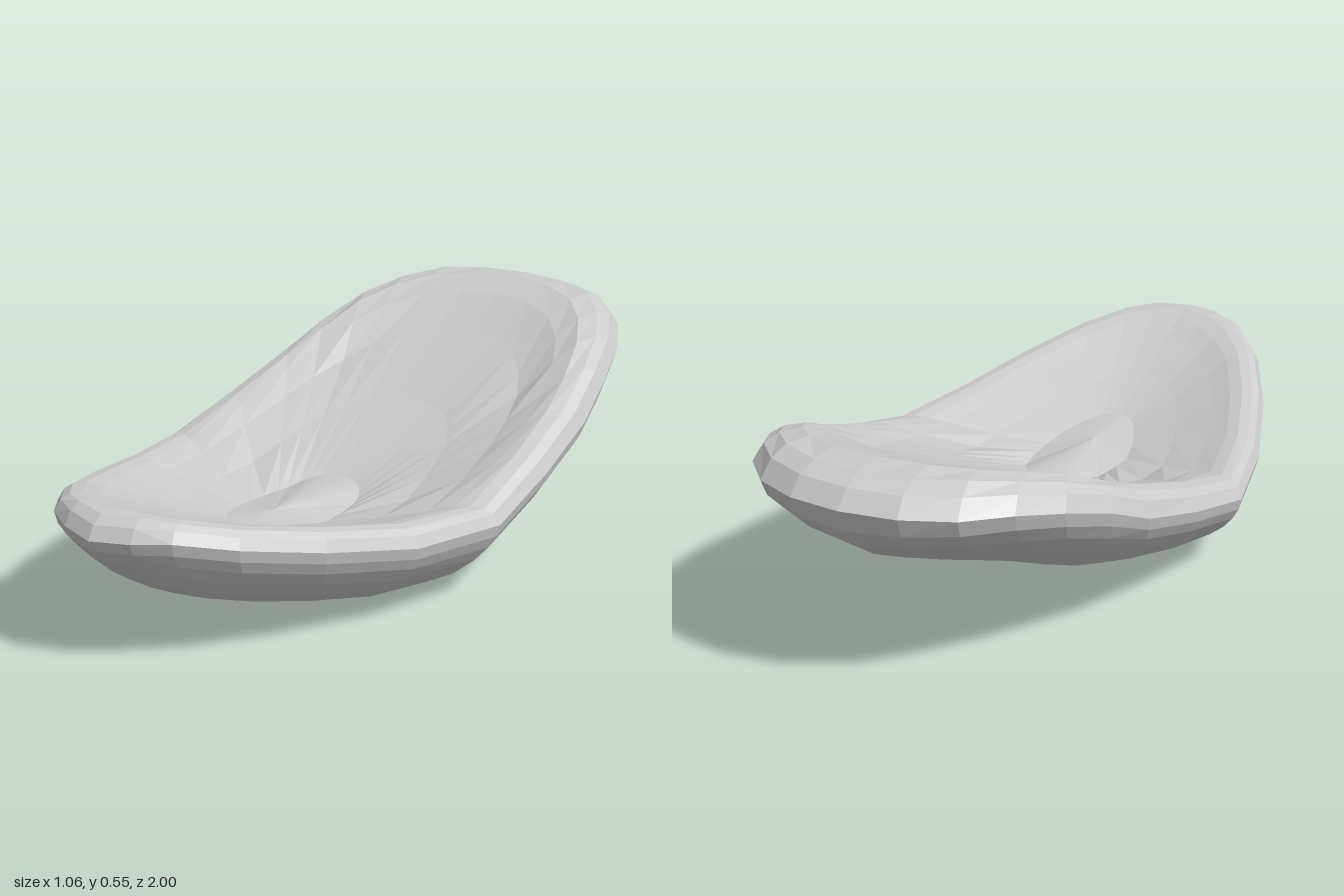
import * as THREE from 'three';

// Half of the egg-shaped rim seen from above, front tip to back: [x, z]
const HALF = [
  [0, 1], [0.1, 0.97], [0.18, 0.92], [0.28, 0.8], [0.38, 0.6], [0.47, 0.35],
  [0.53, 0.08], [0.515, -0.17], [0.49, -0.4], [0.46, -0.55], [0.415, -0.7],
  [0.35, -0.82], [0.26, -0.92], [0.14, -0.98], [0, -1],
];

// Height of the rim along the length: [z, y]
const BEND = [
  [-1, 0.485], [-0.93, 0.48], [-0.83, 0.475], [-0.7, 0.445], [-0.55, 0.395], [-0.4, 0.328],
  [-0.15, 0.255], [0.1, 0.195], [0.25, 0.195], [0.45, 0.23], [0.7, 0.285], [0.93, 0.345], [1, 0.335],
];

// Section from the shallow centre over the soft lip to the underside:
// [fraction of rim, height in the front part, height in the back part]
const TOP = [
  [0, -0.012, -0.012], [0.23, -0.025, -0.025], [0.48, 0, 0.02], [0.69, 0.028, 0.04],
  [0.8, 0.045, 0.068], [0.87, 0.05, 0.08], [0.93, 0.045, 0.068], [0.97, 0.03, 0.045], [1, 0, 0],
];
const UNDERSIDE = [
  [0.985, -0.03, -0.055], [0.95, -0.06, -0.105], [0.89, -0.095, -0.155], [0.8, -0.135, -0.19],
  [0.68, -0.165, -0.197], [0.5, -0.185, -0.19], [0.25, -0.193, -0.188], [0, -0.197, -0.197],
];

const CENTRE_Z = 0.31;

function bendHeight(z) {
  let i = 1;
  while (i < BEND.length - 1 && z > BEND[i][0]) i++;
  const [z0, y0] = BEND[i - 1];
  const [z1, y1] = BEND[i];
  return THREE.MathUtils.mapLinear(z, z0, z1, y0, y1);
}

function dishGeometry() {
  const mirrored = HALF.slice(1, -1).reverse().map(([x, z]) => [-x, z]);
  const rim = [...HALF, ...mirrored];
  const rings = [...TOP, ...UNDERSIDE];
  const n = rim.length;
  const positions = [];
  const index = [];

  // Rings shrink from the rim towards the off-centre pole;
  // the underside is fullest along the middle of the back
  rings.forEach(([r, front, back], i) => {
    for (const [x, rimZ] of rim) {
      const z = THREE.MathUtils.lerp(CENTRE_Z, rimZ, r);
      const backness = THREE.MathUtils.clamp((0.1 - z) / 0.6, 0, 1);
      const middle = i < TOP.length ? 1 : 1 - Math.abs(x) / 0.53;
      const h = THREE.MathUtils.lerp(front, back, backness * middle);
      positions.push(x * r, bendHeight(z) + h, z);
    }
  });

  // Join neighbouring rings, leaving out the collapsed triangles at the poles
  // and mirroring the diagonals from one side to the other
  const last = rings.length - 2;
  for (let i = 0; i <= last; i++) {
    for (let j = 0; j < n; j++) {
      const k = (j + 1) % n;
      const a = i * n + j, b = (i + 1) * n + j, c = (i + 1) * n + k, d = i * n + k;
      if (i === 0) index.push(a, b, c);
      else if (i === last) index.push(a, b, d);
      else if (j < n / 2) index.push(a, b, c, a, c, d);
      else index.push(a, b, d, b, c, d);
    }
  }

  const geometry = new THREE.BufferGeometry();
  geometry.setAttribute('position', new THREE.Float32BufferAttribute(positions, 3));
  geometry.setIndex(index);
  geometry.computeVertexNormals();
  return geometry;
}

export function createModel() {
  const group = new THREE.Group();
  group.name = 'curvedDish';

  // Bent oval dish with a thick rounded lip
  const material = new THREE.MeshStandardMaterial({ color: 0xcccccc, flatShading: true });
  const dish = new THREE.Mesh(dishGeometry(), material);
  dish.name = 'dish';
  group.add(dish);
  return group;
}
